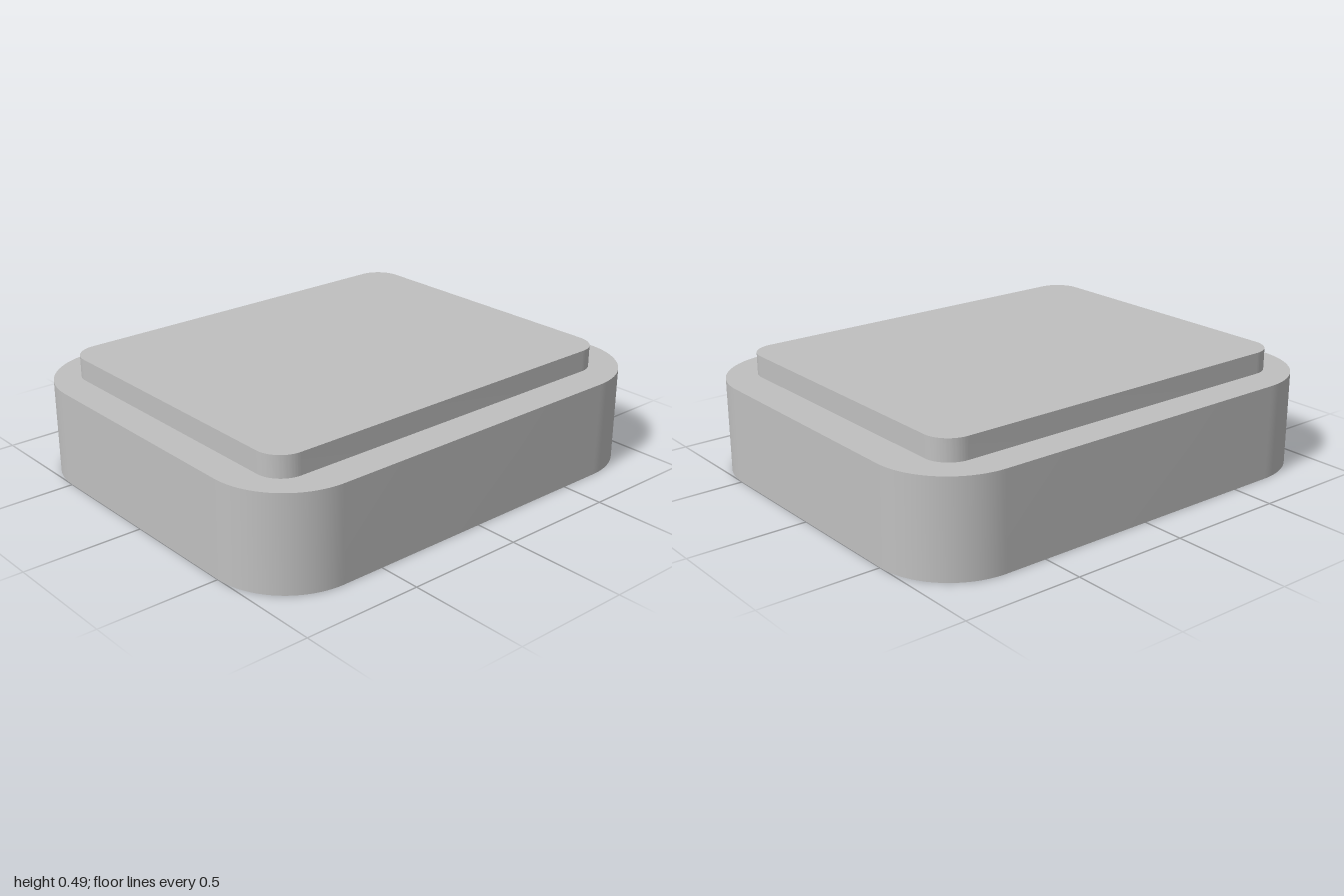
import * as THREE from 'three';
import { toCreasedNormals } from 'three/addons/utils/BufferGeometryUtils.js';

const ARC_STEPS = 16;
const BODY_HEIGHT = 0.4;
const HOLE_RADIUS = 0.143;
const HOLE_SPACING = 0.36;

function roundedRect(halfX, halfZ, r) {
  const x = halfX - r, z = halfZ - r, q = Math.PI / 2;
  const shape = new THREE.Shape();
  shape.moveTo(halfX, -z);
  shape.absarc(x, z, r, 0, q, false);
  shape.absarc(-x, z, r, q, 2 * q, false);
  shape.absarc(-x, -z, r, 2 * q, 3 * q, false);
  shape.absarc(x, -z, r, 3 * q, 4 * q, false);
  return shape;
}

// Upright wall following a shape's outline, facing outward
function wallGeometry(shape, height) {
  const outline = shape.getPoints(ARC_STEPS);
  const positions = [];
  outline.forEach((a, i) => {
    const b = outline[(i + 1) % outline.length];
    if (a.distanceTo(b) < 1e-5) return;
    positions.push(
      a.x, 0, -a.y, b.x, 0, -b.y, b.x, height, -b.y,
      a.x, 0, -a.y, b.x, height, -b.y, a.x, height, -a.y);
  });
  const geometry = new THREE.BufferGeometry();
  geometry.setAttribute('position', new THREE.Float32BufferAttribute(positions, 3));
  return toCreasedNormals(geometry, 0.5);
}

export function createModel() {
  const group = new THREE.Group();
  const grey = new THREE.MeshStandardMaterial({ color: 0xc0c0c0 });
  grey.name = 'grey';

  const add = (name, geometry, x = 0, y = 0, z = 0) => {
    const mesh = new THREE.Mesh(geometry, grey);
    mesh.name = name;
    mesh.position.set(x, y, z);
    group.add(mesh);
  };

  // Body: wall, closed top and perforated underside
  const outline = roundedRect(0.82, 1, 0.32);
  add('bodyWall', wallGeometry(outline, BODY_HEIGHT));
  add('bodyTop', new THREE.ShapeGeometry(outline, ARC_STEPS).rotateX(-Math.PI / 2), 0, BODY_HEIGHT);

  const underside = roundedRect(0.82, 1, 0.32);

  // Blind pockets with a countersunk mouth, four across and five deep
  const pocket = toCreasedNormals(new THREE.LatheGeometry([
    new THREE.Vector2(0, 0.32),
    new THREE.Vector2(0.118, 0.32),
    new THREE.Vector2(0.118, 0.04),
    new THREE.Vector2(HOLE_RADIUS, 0),
  ], 32), 0.4);
  for (let i = 0; i < 4; i++) {
    for (let j = 0; j < 5; j++) {
      const x = (i - 1.5) * HOLE_SPACING, z = (j - 2) * HOLE_SPACING;
      underside.holes.push(new THREE.Path().absarc(x, z, HOLE_RADIUS, 0, Math.PI * 2, true));
      add('pocket', pocket, x, 0, z);
    }
  }
  add('underside', new THREE.ShapeGeometry(underside, ARC_STEPS * 2).rotateX(Math.PI / 2));

  // Raised plate, set very slightly forward
  const plate = new THREE.ExtrudeGeometry(roundedRect(0.677, 0.855, 0.11), {
    depth: 0.09, bevelEnabled: false, curveSegments: ARC_STEPS,
  }).rotateX(-Math.PI / 2);
  add('raisedPlate', toCreasedNormals(plate, 0.5), 0, BODY_HEIGHT, 0.01);

  return group;
}
